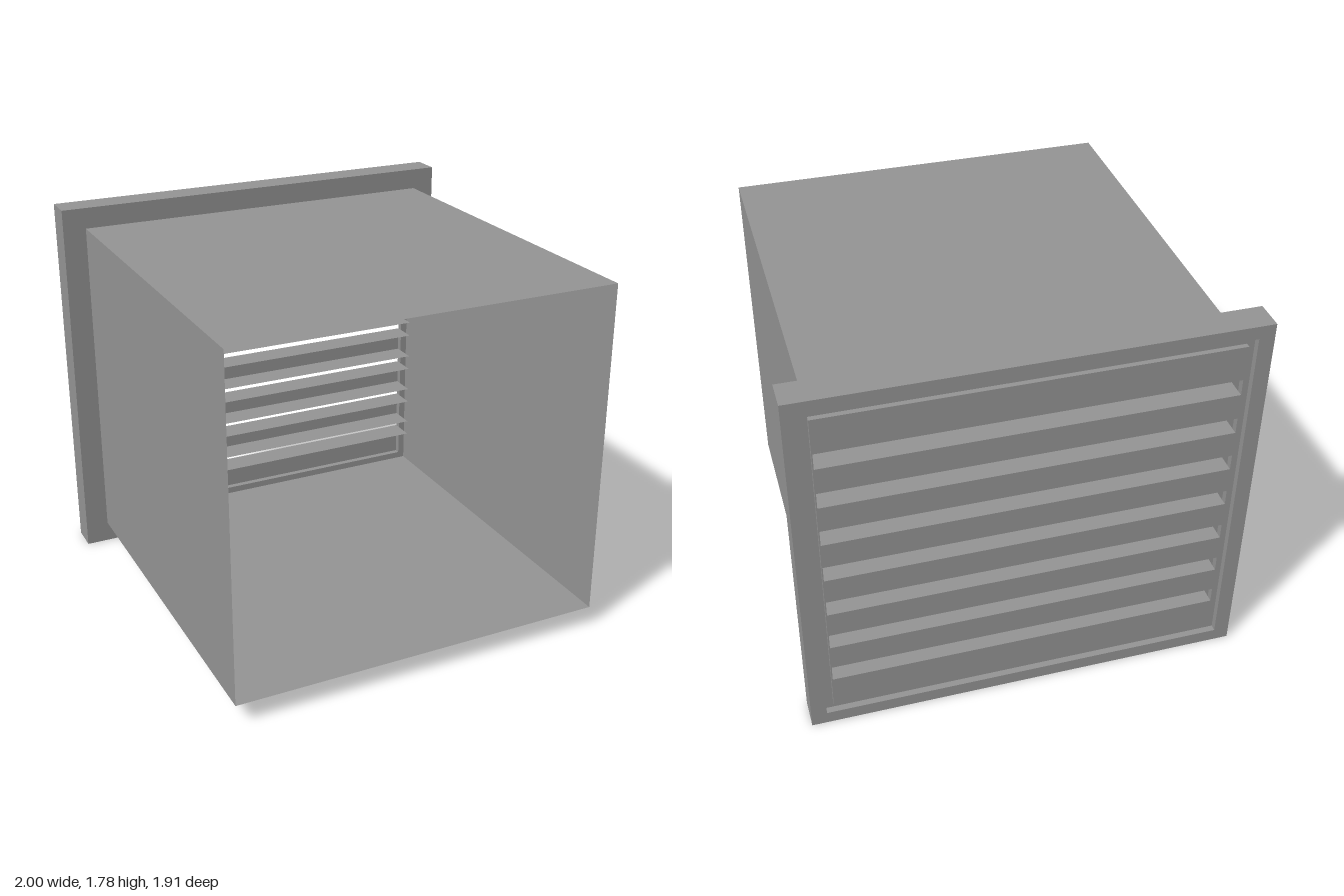
import * as THREE from 'three';

const metal = new THREE.MeshStandardMaterial({ color: 0x959595 });
const sheet = new THREE.MeshStandardMaterial({ color: 0x959595, side: THREE.DoubleSide });

const HALF = 0.89, BOTTOM = 0.1, TOP = 1.685;    // duct section
const FRONT = 0.955, DUCT_END = -0.82;           // duct mouth and end
const FACE = -0.95, INNER = -0.82;               // louvre face and inner edge

// Rectangular ring in the xy plane, extruded from z0 to z1
function ring(name, outer, inner, z0, z1) {
  const rect = (P, [hx, y0, y1]) => {
    const p = new P();
    p.moveTo(-hx, y0);
    p.lineTo(hx, y0);
    p.lineTo(hx, y1);
    p.lineTo(-hx, y1);
    p.closePath();
    return p;
  };
  const shape = rect(THREE.Shape, outer);
  shape.holes.push(rect(THREE.Path, inner));
  const geo = new THREE.ExtrudeGeometry(shape, { depth: z1 - z0, bevelEnabled: false });
  geo.translate(0, 0, z0);
  const mesh = new THREE.Mesh(geo, metal);
  mesh.name = name;
  return mesh;
}

// Thin metal sheet: 'x' upright side, 'y' horizontal, 'z' upright facing
function panel(name, axis, w, h, x, y, z) {
  const geo = new THREE.PlaneGeometry(w, h);
  if (axis === 'x') geo.rotateY(Math.PI / 2);
  if (axis === 'y') geo.rotateX(-Math.PI / 2);
  if (axis === 'z') geo.rotateY(Math.PI);
  const mesh = new THREE.Mesh(geo, sheet);
  mesh.name = name;
  mesh.position.set(x, y, z);
  return mesh;
}

export function createModel() {
  const model = new THREE.Group();
  model.name = 'ventLouvre';

  // Open sheet-metal duct
  const duct = new THREE.Group();
  duct.name = 'duct';
  const length = FRONT - DUCT_END, midZ = (FRONT + DUCT_END) / 2, midY = (TOP + BOTTOM) / 2;
  for (const s of [-1, 1]) duct.add(panel('ductSide', 'x', length, TOP - BOTTOM, s * HALF, midY, midZ));
  duct.add(panel('ductFloor', 'y', 2 * HALF, length, 0, BOTTOM, midZ));
  duct.add(panel('ductCeiling', 'y', 2 * HALF, length, 0, TOP, midZ));
  model.add(duct);

  // Flange frame: rim, ledge at the duct, and a shallow groove around the louvre
  const frame = new THREE.Group();
  frame.name = 'frame';
  const lip = [0.93, 0.06, 1.725], opening = [HALF, BOTTOM, TOP];
  frame.add(ring('frameRim', [1, 0, 1.785], lip, -0.957, -0.82));
  frame.add(ring('frameLedge', lip, opening, -0.86, -0.82));
  frame.add(ring('grooveFloor', lip, opening, -0.927, -0.92));
  frame.add(ring('louvreSurround', [HALF + 0.005, BOTTOM - 0.005, TOP + 0.005], opening, FACE, -0.927));
  model.add(frame);

  // Louvre blades: channel sections open to the inside, separated by slots
  const louvre = new THREE.Group();
  louvre.name = 'louvre';
  const slots = 7, pitch = 0.1983, gap = 0.076, firstSlot = 0.26;
  const depth = INNER - FACE, flangeZ = (INNER + FACE) / 2;
  for (let i = 0; i <= slots; i++) {
    const y0 = i === 0 ? BOTTOM : firstSlot + (i - 1) * pitch + gap;
    const y1 = i === slots ? TOP : firstSlot + i * pitch;
    const blade = new THREE.Group();
    blade.name = 'blade';
    blade.add(panel('bladeFace', 'z', 2 * HALF, y1 - y0, 0, (y0 + y1) / 2, FACE));
    if (i > 0) blade.add(panel('bladeLowerFlange', 'y', 2 * HALF, depth, 0, y0, flangeZ));
    if (i < slots) blade.add(panel('bladeUpperFlange', 'y', 2 * HALF, depth, 0, y1, flangeZ));
    louvre.add(blade);
  }
  model.add(louvre);

  return model;
}
